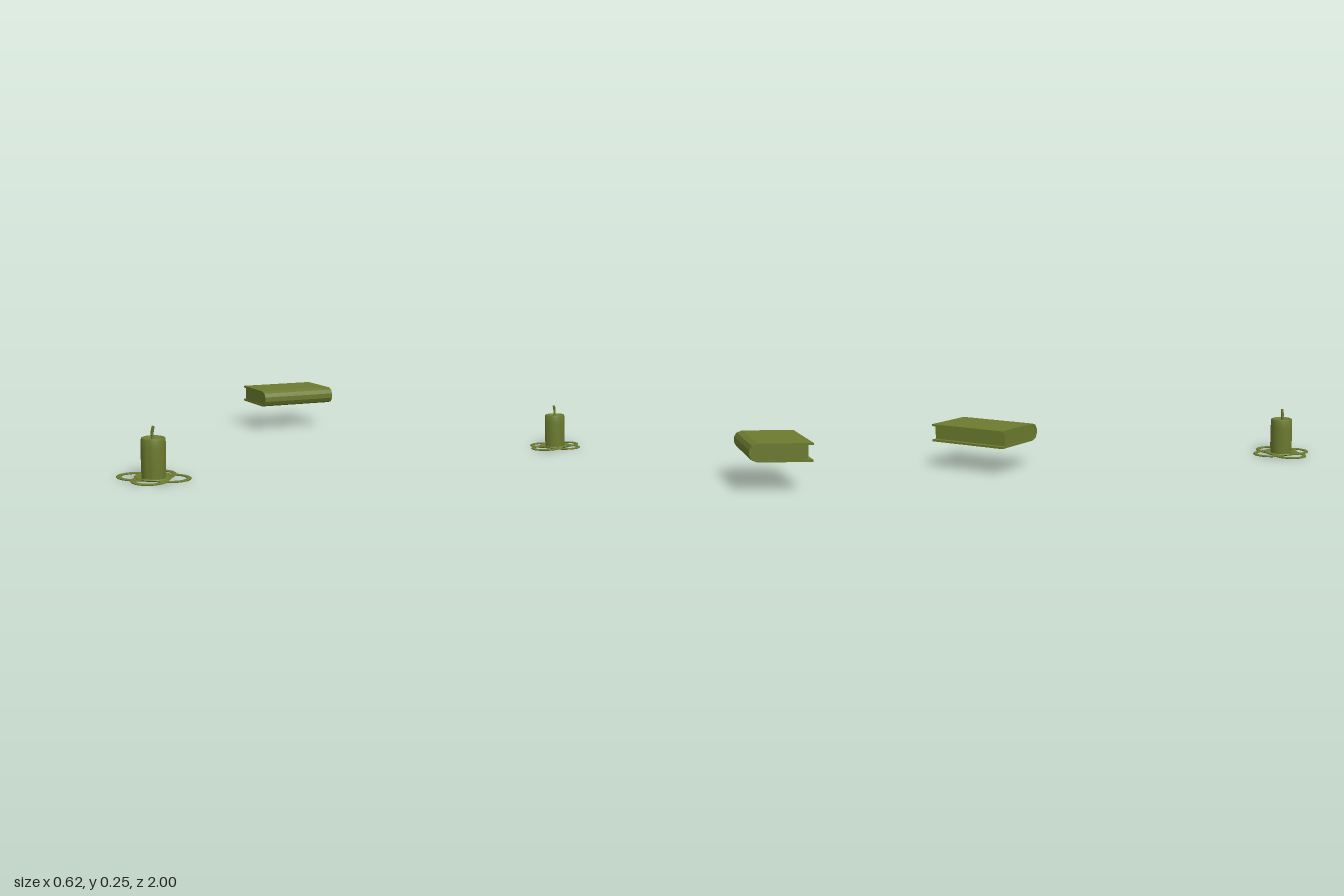
import * as THREE from 'three';
import { toCreasedNormals } from 'three/addons/utils/BufferGeometryUtils.js';

const olive = new THREE.MeshStandardMaterial({ color: 0x6b7a2f, side: THREE.DoubleSide });

function part(name, geometry, parent) {
  const mesh = new THREE.Mesh(geometry, olive);
  mesh.name = name;
  parent.add(mesh);
  return mesh;
}

const lathe = (points) =>
  toCreasedNormals(new THREE.LatheGeometry(points.map(([r, y]) => new THREE.Vector2(r, y)), 40), 0.6);

// Extrudes a closed outline, centred along z
function prism(points, depth) {
  const shape = new THREE.Shape(points.map(([x, y]) => new THREE.Vector2(x, y)));
  return toCreasedNormals(
    new THREE.ExtrudeGeometry(shape, { depth, bevelEnabled: false }).translate(0, 0, -depth / 2), 0.3);
}

function createBook() {
  const book = new THREE.Group();
  book.name = 'book';
  const length = 0.433, half = 0.15, h = 0.044, t = 0.01;

  // Upper half of the faceted spine; mirrored for the lower half
  const outer = [[-half, h], [half - 0.04, h], [half - 0.012, h - 0.01], [half, 0.013]];
  const inner = [[-half, h - t], [half - 0.043, h - t], [half - 0.021, h - 0.018], [half - 0.01, 0.011]];
  const mirror = (pts) => pts.map(([x, y]) => [x, -y]).reverse();
  part('cover', prism([...outer, ...mirror(outer), ...inner.map(([x, y]) => [x, -y]), ...[...inner].reverse()], length), book);

  // Page block, set back from the open edge
  const pages = [[-half + 0.024, h - t], ...inner.slice(1)];
  part('pages', prism([...pages, ...mirror(pages)], length - 0.006), book);

  book.position.set(0.046, 0.184, -0.745);
  book.rotation.y = -0.833;
  return book;
}

function createCandle() {
  const candle = new THREE.Group();
  candle.name = 'candleAndHolder';

  // Shallow saucer
  part('saucer', lathe([[0, 0.002], [0.06, 0.002], [0.082, 0.006], [0.091, 0.012], [0.088, 0.016],
    [0.08, 0.016], [0.068, 0.011], [0.055, 0.008], [0, 0.008]]), candle);

  // Wax body with a rounded rim and dished top
  part('wax', lathe([[0, 0.006], [0.056, 0.006], [0.0575, 0.06], [0.058, 0.1], [0.0575, 0.15],
    [0.0565, 0.188], [0.054, 0.194], [0.049, 0.196], [0.044, 0.193], [0.037, 0.187],
    [0.018, 0.183], [0, 0.182]]), candle);

  // Bent wick with a closed tip
  const path = new THREE.CatmullRomCurve3([[0, 0.18], [-0.003, 0.2], [-0.003, 0.222], [0.002, 0.247]]
    .map(([x, y]) => new THREE.Vector3(x, y, 0.003)));
  part('wick', new THREE.TubeGeometry(path, 12, 0.007, 10), candle);
  const tip = part('wickTip', new THREE.CircleGeometry(0.007, 10), candle);
  tip.position.copy(path.getPoint(1));
  tip.quaternion.setFromUnitVectors(new THREE.Vector3(0, 0, 1), path.getTangent(1));

  // Four looped petals around the saucer
  for (let i = 0; i < 4; i++) {
    const reach = i % 2 ? 0.163 : 0.177;
    const semi = 0.1;
    const ring = new THREE.TorusGeometry(0.077, 0.011, 10, 48).rotateX(Math.PI / 2);
    ring.scale(semi / 0.088, 0.42, 1).translate(reach - semi, 0.0085, 0);
    const petal = part('petalLoop' + (i + 1), ring, candle);
    petal.rotation.y = 0.12 + i * Math.PI / 2;
  }

  candle.position.set(-0.134, 0, 0.84);
  return candle;
}

export function createModel() {
  const model = new THREE.Group();
  model.name = 'bookAndCandle';
  model.add(createBook(), createCandle());
  return model;
}
